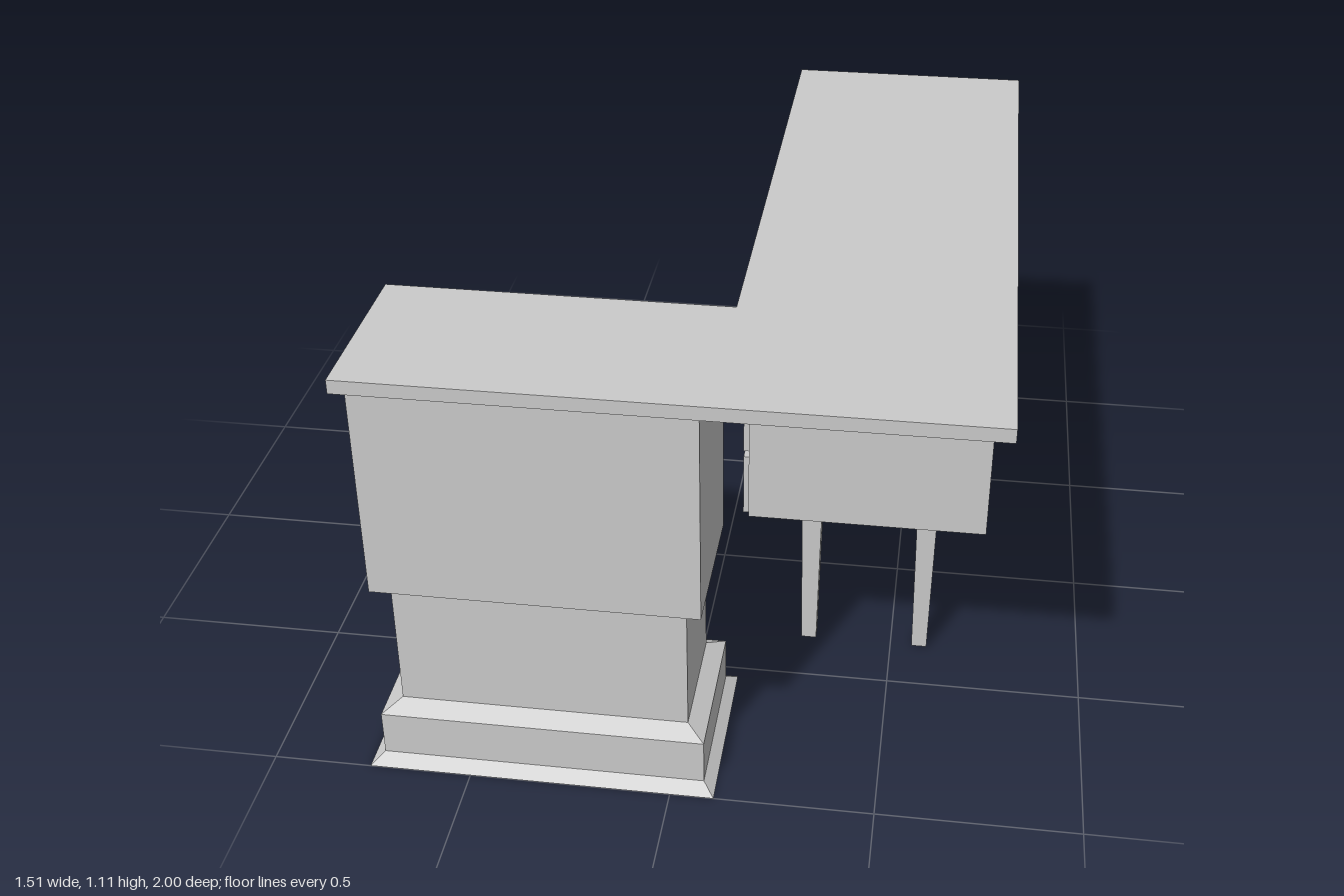
import * as THREE from 'three';

const mat = new THREE.MeshStandardMaterial({ color: 0xcccccc, flatShading: true });

function add(parent, name, geo) {
  const m = new THREE.Mesh(geo, mat);
  m.name = name;
  parent.add(m);
  return m;
}

// Box given by its limits
function block(x0, x1, y0, y1, z0, z1) {
  return new THREE.BoxGeometry(x1 - x0, y1 - y0, z1 - z0)
    .translate((x0 + x1) / 2, (y0 + y1) / 2, (z0 + z1) / 2);
}

// Box whose bottom and top rectangles [x0, x1, z0, z1] differ
function taper(bottom, top, y0, y1) {
  const g = new THREE.BoxGeometry(1, 1, 1), p = g.attributes.position;
  for (let i = 0; i < p.count; i++) {
    const r = p.getY(i) > 0 ? top : bottom;
    p.setXYZ(i, r[p.getX(i) > 0 ? 1 : 0], p.getY(i) > 0 ? y1 : y0, r[p.getZ(i) > 0 ? 3 : 2]);
  }
  g.computeVertexNormals();
  return g;
}

const points = (list) => list.map(([x, y]) => new THREE.Vector2(x, y));
const rect = (w, h) => points([[-w / 2, -h / 2], [w / 2, -h / 2], [w / 2, h / 2], [-w / 2, h / 2]]);

// Rectangle with cut corners
function octagon(w, h, c) {
  const a = w / 2, b = h / 2;
  return points([[-a + c, -b], [a - c, -b], [a, -b + c], [a, b - c],
    [a - c, b], [-a + c, b], [-a, b - c], [-a, -b + c]]);
}

function plate(outline, hole, depth) {
  const s = new THREE.Shape(outline);
  if (hole) s.holes.push(new THREE.Path(hole));
  return new THREE.ExtrudeGeometry(s, { depth, bevelEnabled: false });
}

// Ring-shaped pull with a grip bar across it, facing +z
function pull(w, h, reach) {
  const g = new THREE.Group();
  g.name = 'pull';
  add(g, 'pullRing', plate(octagon(w, h, h * 0.3), octagon(w - 0.022, h - 0.022, h * 0.2), reach * 0.55));
  add(g, 'pullGrip', block(-w * 0.36, w * 0.36, -0.006, 0.006, reach * 0.6, reach));
  for (const s of [-1, 1]) {
    add(g, 'pullPost', block(s * w * 0.32 - 0.005, s * w * 0.32 + 0.005, -0.006, 0.006, 0, reach * 0.7));
  }
  return g;
}

// Drawer front facing +z, either plain or with a recessed panel
function drawer(w, h, framed, reach) {
  const g = new THREE.Group();
  g.name = 'drawer';
  add(g, 'drawerFront', plate(rect(w, h), framed ? rect(w - 0.11, h - 0.08) : null, 0.014));
  const handle = framed ? pull(0.14, 0.042, reach) : pull(0.105, 0.06, 0.007);
  handle.position.z = framed ? 0.001 : 0.014;
  g.add(handle);
  return g;
}

export function createModel() {
  const model = new THREE.Group();
  model.name = 'cornerDesk';

  // L-shaped worktop
  const worktop = plate(points([[-0.75, -0.985], [0.755, -0.985], [0.755, 1], [0.1, 1], [0.1, -0.53], [-0.75, -0.53]]), null, 0.035);
  add(model, 'worktop', worktop.rotateX(-Math.PI / 2).translate(0, 1.075, 0));

  // Side cabinet on a stepped plinth
  const cabinet = new THREE.Group();
  cabinet.name = 'sideCabinet';
  model.add(cabinet);
  const column = [-0.68, 0.035, 0.61, 0.92];
  const base = [-0.725, 0.08, 0.565, 0.965];
  add(cabinet, 'cabinetBody', block(-0.72, 0.075, 0.515, 1.075, 0.575, 0.96));
  add(cabinet, 'column', taper(column, column, 0.165, 0.515));
  add(cabinet, 'plinthSlope', taper(base, column, 0.14, 0.165));
  add(cabinet, 'plinth', taper(base, base, 0.022, 0.14));
  add(cabinet, 'plinthFoot', taper([-0.755, 0.108, 0.535, 1], base, 0, 0.022));
  for (const [y0, y1] of [[0.528, 0.673], [0.7, 0.872], [0.9, 1.068]]) {
    const d = drawer(0.785, y1 - y0, true, 0.018);
    d.rotation.y = Math.PI;
    d.position.set(-0.3225, (y0 + y1) / 2, 0.575);
    cabinet.add(d);
  }

  // Main desk with a kneehole
  const desk = new THREE.Group();
  desk.name = 'mainDesk';
  model.add(desk);
  const body = plate(points([[-0.97, 0.505], [-0.6, 0.505], [-0.6, 0.875], [0.145, 0.875],
    [0.145, 0.505], [0.515, 0.505], [0.515, 1.075], [-0.97, 1.075]]), null, 0.595);
  add(desk, 'deskBody', body.rotateY(-Math.PI / 2).translate(0.725, 0, 0));

  function deskDrawer(w, y0, y1, z, framed) {
    const d = drawer(w, y1 - y0, framed, 0.035);
    d.rotation.y = -Math.PI / 2;
    d.position.set(0.13, (y0 + y1) / 2, z);
    desk.add(d);
  }
  for (const z of [-0.785, 0.33]) {
    for (const [y0, y1] of [[0.512, 0.678], [0.695, 0.868], [0.886, 1.065]]) deskDrawer(0.355, y0, y1, z, false);
  }
  deskDrawer(0.725, 0.886, 1.065, -0.2275, true);

  // Tapered legs
  for (const x of [0.278, 0.577]) {
    for (const z of [-0.783, 0.329]) {
      const sq = (r) => [x - r, x + r, z - r, z + r];
      add(desk, 'leg', taper(sq(0.02), sq(0.027), 0.005, 0.505));
    }
  }
  return model;
}
